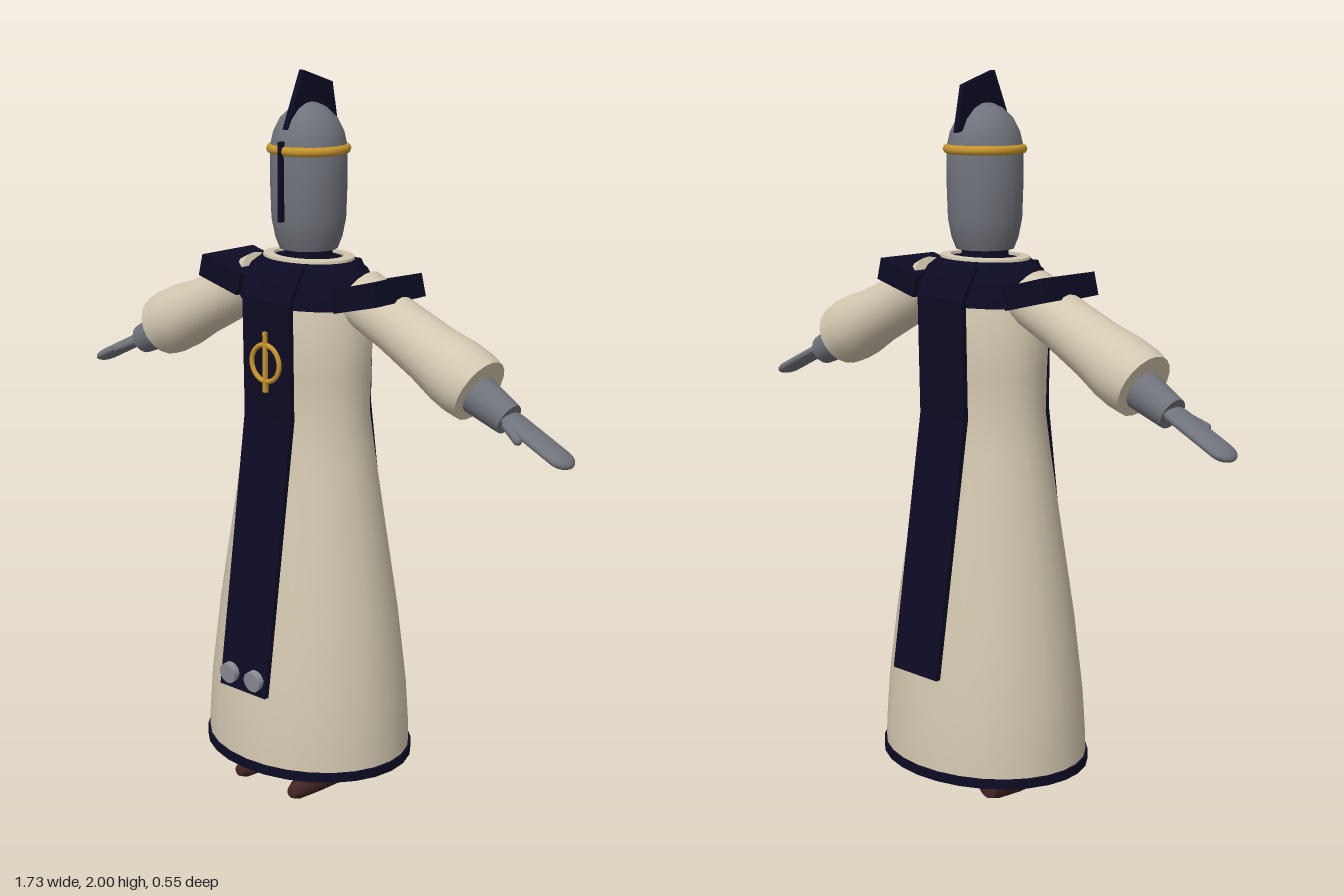
import * as THREE from 'three';
import { toCreasedNormals } from 'three/addons/utils/BufferGeometryUtils.js';

const mat = (name, color) => Object.assign(new THREE.MeshStandardMaterial({ color }), { name });
const Z0 = -0.008; // body axis sits slightly behind the origin

export function createModel() {
  const model = new THREE.Group();
  model.name = 'robedKnight';
  const cream = mat('cream cloth', 0xd3c8b0);
  const navy = mat('navy cloth', 0x0c0b24);
  const steel = mat('grey steel', 0x70737b);
  const silver = mat('pale silver', 0x8b8e94);
  const gold = mat('gold', 0xc8952c);
  const leather = mat('brown leather', 0x432424);

  const add = (name, geometry, material, x = 0, y = 0, z = 0, parent = model) => {
    const mesh = new THREE.Mesh(geometry, material);
    mesh.name = name;
    mesh.position.set(x, y, z);
    parent.add(mesh);
    return mesh;
  };
  const lathe = (pts, sides = 28) =>
    new THREE.LatheGeometry(pts.map(([r, y]) => new THREE.Vector2(r, y)), sides);
  const creased = (g) => toCreasedNormals(g, 0.7);
  // flatten a round body front to back, more strongly towards the top
  const oval = (g) => {
    const p = g.attributes.position;
    for (let i = 0; i < p.count; i++) {
      const t = THREE.MathUtils.clamp(p.getY(i) - 0.1, 0, 1);
      p.setZ(i, p.getZ(i) * (0.84 - 0.07 * t));
    }
    return creased(g);
  };
  // side outline in (z, y), extruded to a width centred on x = 0
  const plate = (outline, width) => {
    const g = new THREE.ExtrudeGeometry(
      new THREE.Shape(outline.map(([z, y]) => new THREE.Vector2(z, y))),
      { depth: width, bevelEnabled: false });
    return g.translate(0, 0, -width / 2).rotateY(-Math.PI / 2);
  };
  const strip = (line, t) => plate([...line, ...line.map(([z, y]) => [z + t, y]).reverse()], 0.17);

  // Robe and hem
  add('robe', oval(lathe([[0, 0.1], [0.307, 0.1], [0.306, 0.17], [0.298, 0.3], [0.272, 0.52],
    [0.228, 0.8], [0.2, 0.98], [0.185, 1.09], [0.188, 1.2], [0.197, 1.4], [0.17, 1.46],
    [0.1, 1.49], [0, 1.49]])), cream, 0, 0, Z0);
  add('hem', oval(lathe([[0.3, 0.096], [0.314, 0.096], [0.314, 0.122], [0.3, 0.122]])), navy, 0, 0, Z0);

  // Collar mantle with a cream ring around the neck
  add('mantle', oval(lathe([[0.19, 1.39], [0.207, 1.39], [0.2, 1.44], [0.175, 1.48],
    [0.14, 1.505], [0.06, 1.508]])), navy, 0, 0, Z0);
  add('collarRing', oval(lathe([[0.138, 1.5], [0.136, 1.512], [0.105, 1.514], [0.103, 1.5]])), cream, 0, 0, Z0);
  add('neck', new THREE.CylinderGeometry(0.062, 0.066, 0.09, 24), navy, 0, 1.505, Z0);

  // Tabard panels
  add('frontTabard', strip([[0.095, 1.495], [0.146, 1.41], [0.141, 1.09], [0.247, 0.33]], 0.015), navy);
  add('backTabard', strip([[-0.11, 1.495], [-0.163, 1.41], [-0.156, 1.09], [-0.263, 0.39]], -0.015), navy);
  add('chestRing', new THREE.TorusGeometry(0.05, 0.007, 8, 28), gold, 0, 1.24, 0.162);
  add('chestBar', new THREE.BoxGeometry(0.011, 0.165, 0.012), gold, 0, 1.243, 0.162);

  // Helmet
  add('helmet', creased(lathe([[0, 1.525], [0.078, 1.53], [0.09, 1.56], [0.1, 1.61], [0.103, 1.7],
    [0.103, 1.8], [0.094, 1.84], [0.076, 1.875], [0.048, 1.902], [0.022, 1.914], [0, 1.917]])), steel, 0, 0, Z0);
  add('helmetBand', new THREE.TorusGeometry(0.1, 0.013, 8, 32).rotateX(Math.PI / 2), gold, 0, 1.795, Z0);
  add('visorStrip', new THREE.BoxGeometry(0.011, 0.21, 0.02), navy, 0, 1.715, 0.097);
  add('crest', plate([[0.085, 1.85], [0.02, 2], [-0.093, 1.963], [-0.117, 1.84], [-0.04, 1.86]], 0.016), navy);

  for (const s of [1, -1]) {
    const side = s > 0 ? 'left' : 'right';

    // Arm, built along its own +y and swung outward
    const arm = new THREE.Group();
    arm.name = side + 'Arm';
    arm.position.set(s * 0.18, 1.42, -0.018);
    arm.rotation.z = -s * 2.018;
    model.add(arm);
    add(side + 'Sleeve', creased(lathe([[0, 0], [0.077, 0], [0.076, 0.14], [0.083, 0.27],
      [0.093, 0.35], [0.094, 0.4], [0.089, 0.44], [0, 0.44]], 20)), cream, 0, 0, 0, arm);
    add(side + 'Gauntlet', new THREE.CylinderGeometry(0.043, 0.058, 0.15, 18), steel, s * 0.01, 0.475, 0, arm);
    add(side + 'Hand', new THREE.CapsuleGeometry(0.042, 0.15, 6, 16).scale(0.42, 1, 1), steel, s * 0.005, 0.645, 0, arm);
    const thumb = add(side + 'Thumb', new THREE.CapsuleGeometry(0.012, 0.06, 4, 10), steel, s * 0.01, 0.595, 0.042, arm);
    thumb.rotation.x = 0.35;

    // Shoulder pad, tilted up at its outer end
    const pad = add(side + 'ShoulderPad', new THREE.BoxGeometry(0.15, 0.062, 0.2), navy, s * 0.243, 1.437, -0.01);
    pad.rotation.z = s * 0.25;

    // Tabard stud
    const stud = add(side + 'Stud', new THREE.CylinderGeometry(0.029, 0.029, 0.02, 16), silver, s * 0.046, 0.373, 0.264);
    stud.rotation.x = Math.PI / 2 + 0.1;

    // Pointed shoe, tapering forward with its sole on the ground
    const shoe = lathe([[0, 0], [0.036, 0], [0.042, 0.03], [0.043, 0.1], [0.036, 0.18],
      [0.027, 0.25], [0.016, 0.274], [0, 0.28]], 16).rotateX(Math.PI / 2);
    const p = shoe.attributes.position;
    for (let i = 0; i < p.count; i++) p.setY(i, Math.max(0, p.getY(i) + 0.043 - 0.07 * p.getZ(i)));
    add(side + 'Shoe', creased(shoe), leather, s * 0.102, 0, -0.1);
    add(side + 'Ankle', new THREE.CylinderGeometry(0.038, 0.04, 0.08, 16), leather, s * 0.102, 0.085, -0.055);
  }
  return model;
}
